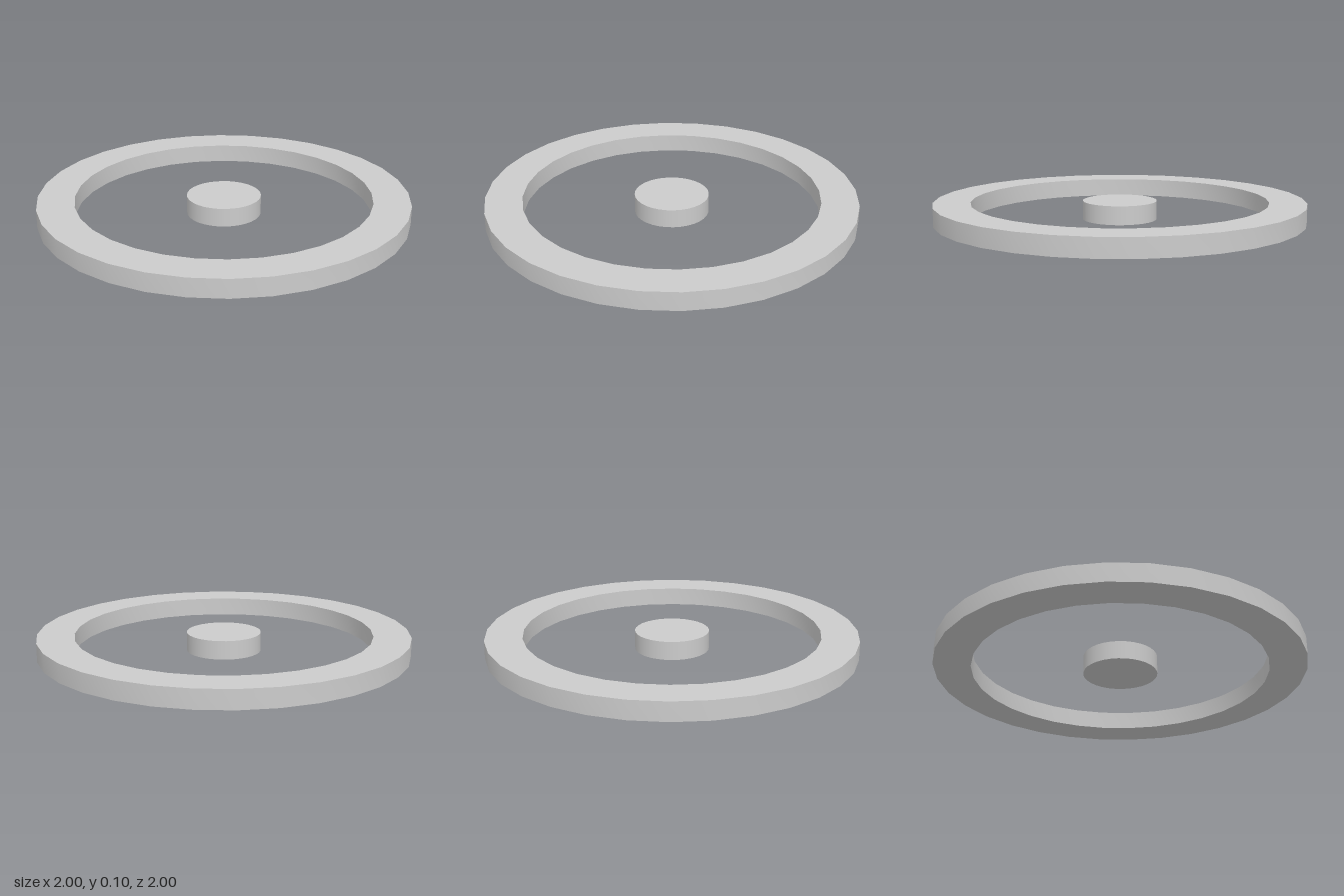
import * as THREE from 'three';
import { toCreasedNormals } from 'three/addons/utils/BufferGeometryUtils.js';

const HEIGHT = 0.1;
const SEGMENTS = 32;

export function createModel() {
  const group = new THREE.Group();
  const material = new THREE.MeshStandardMaterial({ color: 0xcccccc });

  const add = (name, geometry) => {
    const mesh = new THREE.Mesh(geometry, material);
    mesh.name = name;
    group.add(mesh);
    return mesh;
  };

  // Flat outer ring: a rectangular section turned around the y axis
  const section = [[0.8, 0], [1, 0], [1, HEIGHT], [0.8, HEIGHT], [0.8, 0]]
    .map(([r, y]) => new THREE.Vector2(r, y));
  const ring = new THREE.LatheGeometry(section, SEGMENTS);
  add('outerRing', toCreasedNormals(ring, Math.PI / 6));

  // Separate disc in the middle
  const disc = new THREE.CylinderGeometry(0.2, 0.2, HEIGHT, SEGMENTS);
  add('centreDisc', disc).position.y = HEIGHT / 2;

  return group;
}
